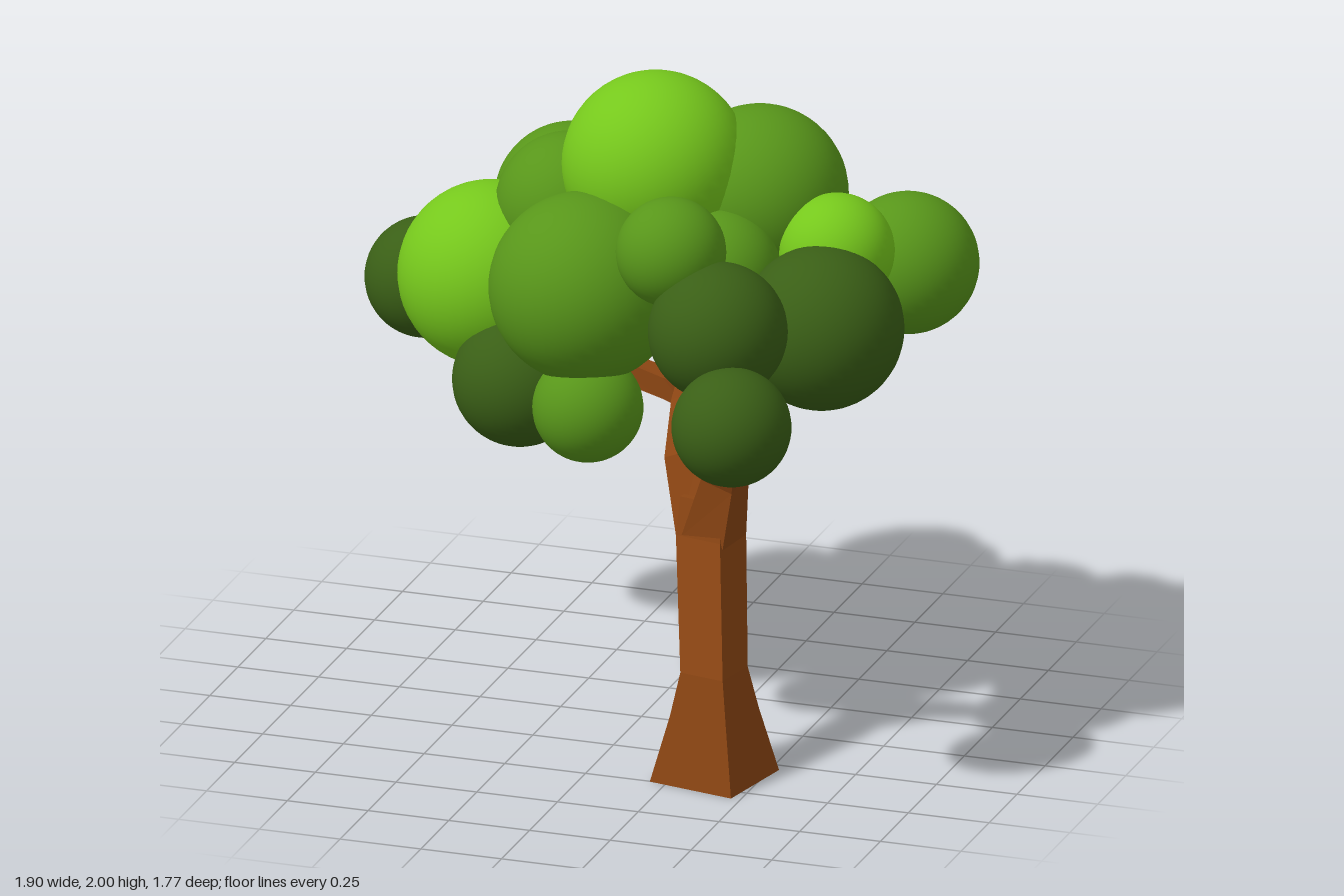
import * as THREE from 'three';

const mat = (color, flatShading = false) => new THREE.MeshStandardMaterial({ color, flatShading });
const V = (x, y, z) => new THREE.Vector3(x, y, z);

// Square-section limb through points [x, y, z, halfWidth]; level keeps sections horizontal
function limbGeometry(path, side, level) {
  const pts = path.map(p => V(p[0], p[1], p[2]));
  const pos = [], index = [];
  pts.forEach((p, i) => {
    const before = pts[Math.max(i - 1, 0)], after = pts[Math.min(i + 1, pts.length - 1)];
    const t = level ? V(0, 1, 0) : after.clone().sub(before).normalize();
    const u = side.clone().addScaledVector(t, -side.dot(t)).normalize();
    const v = u.clone().cross(t);
    const h = path[i][3];
    for (const [a, b] of [[1, 1], [1, -1], [-1, -1], [-1, 1]]) {
      pos.push(...p.clone().addScaledVector(u, a * h).addScaledVector(v, b * h).toArray());
    }
    if (i > 0) {
      const lo = (i - 1) * 4, hi = i * 4;
      for (let k = 0; k < 4; k++) {
        const n = (k + 1) % 4;
        index.push(lo + k, lo + n, hi + n, lo + k, hi + n, hi + k);
      }
    }
  });
  const e = (pts.length - 1) * 4;
  index.push(0, 2, 1, 0, 3, 2, e, e + 1, e + 2, e, e + 2, e + 3);
  const g = new THREE.BufferGeometry();
  g.setAttribute('position', new THREE.Float32BufferAttribute(pos, 3));
  g.setIndex(index);
  const flat = g.toNonIndexed();
  flat.computeVertexNormals();
  return flat;
}

export function createModel() {
  const model = new THREE.Group();
  model.name = 'tree';

  // Trunk and branches
  const bark = mat(0x8b4513, true);
  const wood = new THREE.Group();
  wood.name = 'wood';
  model.add(wood);
  const across = V(0.98, 0, 0.2), depth = V(0, 0, 1);
  const addLimb = (name, path, side = across, level = false) => {
    const mesh = new THREE.Mesh(limbGeometry(path, side, level), bark);
    mesh.name = name;
    wood.add(mesh);
  };
  addLimb('trunk', [
    [0.363, 0, 0.395, 0.138], [0.363, 0.2, 0.395, 0.095],
    [0.36, 0.33, 0.39, 0.072], [0.29, 0.69, 0.215, 0.075], [0.285, 0.8, 0.19, 0.068],
  ], across, true);
  addLimb('frontBranch', [
    [0.3, 0.68, 0.22, 0.07], [0.345, 0.88, 0.25, 0.052], [0.4, 1.08, 0.36, 0.038], [0.41, 1.17, 0.43, 0.036],
  ]);
  addLimb('frontUpperTwig', [[0.405, 1.12, 0.4, 0.036], [0.41, 1.35, 0.46, 0.03]]);
  addLimb('frontOuterTwig', [[0.405, 1.15, 0.42, 0.036], [0.46, 1.18, 0.54, 0.026], [0.52, 1.22, 0.68, 0.024]]);
  addLimb('sideTwig', [[0.4, 1.1, 0.38, 0.034], [0.52, 1.25, 0.27, 0.026]]);
  addLimb('rearBranch', [
    [0.28, 0.68, 0.21, 0.07], [0.2, 0.88, 0.12, 0.062], [0.155, 1.0, 0, 0.045], [0.15, 1.07, -0.05, 0.036],
  ]);
  addLimb('upperBranch', [
    [0.14, 1.03, -0.03, 0.04], [0.2, 1.12, -0.07, 0.033], [0.32, 1.28, -0.16, 0.034], [0.34, 1.45, -0.17, 0.03],
  ]);
  addLimb('upperOuterTwig', [[0.31, 1.27, -0.16, 0.032], [0.5, 1.34, -0.2, 0.028], [0.7, 1.4, -0.25, 0.022]], depth);
  addLimb('upperRearTwig', [[0.32, 1.28, -0.16, 0.03], [0.24, 1.42, -0.38, 0.022]]);
  addLimb('longBranch', [
    [0.17, 1.02, -0.02, 0.042], [0.06, 1.01, -0.09, 0.033], [-0.27, 1.02, -0.26, 0.035], [-0.32, 1.04, -0.27, 0.03],
  ], depth);
  addLimb('longBranchRearTwig', [
    [-0.26, 1.01, -0.24, 0.034], [-0.28, 1.12, -0.43, 0.028], [-0.3, 1.18, -0.54, 0.032], [-0.34, 1.23, -0.68, 0.024],
  ]);
  addLimb('longBranchOuterTwig', [
    [-0.26, 1.02, -0.25, 0.034], [-0.46, 1.05, -0.23, 0.028], [-0.74, 1.15, -0.3, 0.022],
  ], depth);
  addLimb('longBranchUpperTwig', [[-0.28, 1.02, -0.26, 0.03], [-0.42, 1.2, -0.18, 0.022]]);

  // Leaf balls grouped by shade: x, y, z, radius
  const foliage = {
    lightLeaves: [0x76c81c, [
      [0.035, 1.725, -0.025, 0.275], [-0.5, 1.29, -0.1, 0.275], [0.235, 1.47, -0.43, 0.138],
      [0.595, 1.52, -0.03, 0.17], [-0.655, 1.26, -0.475, 0.13],
    ]],
    midLeaves: [0x58961a, [
      [0.31, 1.62, -0.165, 0.26], [-0.27, 1.515, -0.14, 0.22], [-0.09, 1.42, 0.245, 0.283],
      [-0.38, 1.4, -0.48, 0.23], [0.735, 1.418, -0.26, 0.21], [0.24, 1.635, 0.428, 0.162],
      [0.28, 1.47, 0.11, 0.18], [-0.055, 1.075, 0.32, 0.163],
    ]],
    darkLeaves: [0x3a5f16, [
      [-0.04, 1.4, -0.38, 0.232], [0.615, 1.35, 0.165, 0.243], [0.41, 1.433, 0.5, 0.205],
      [0.525, 1.222, 0.71, 0.176], [-0.775, 1.17, -0.31, 0.18], [-0.345, 1.25, -0.7, 0.184],
      [-0.345, 1.045, 0.09, 0.199],
    ]],
  };
  const ball = new THREE.SphereGeometry(1, 40, 28);
  for (const [name, [color, balls]] of Object.entries(foliage)) {
    const group = new THREE.Group();
    group.name = name;
    const leafMat = mat(color);
    for (const [x, y, z, r] of balls) {
      const mesh = new THREE.Mesh(ball, leafMat);
      mesh.name = 'leafBall';
      mesh.position.set(x, y, z);
      mesh.scale.setScalar(r);
      group.add(mesh);
    }
    model.add(group);
  }
  return model;
}
